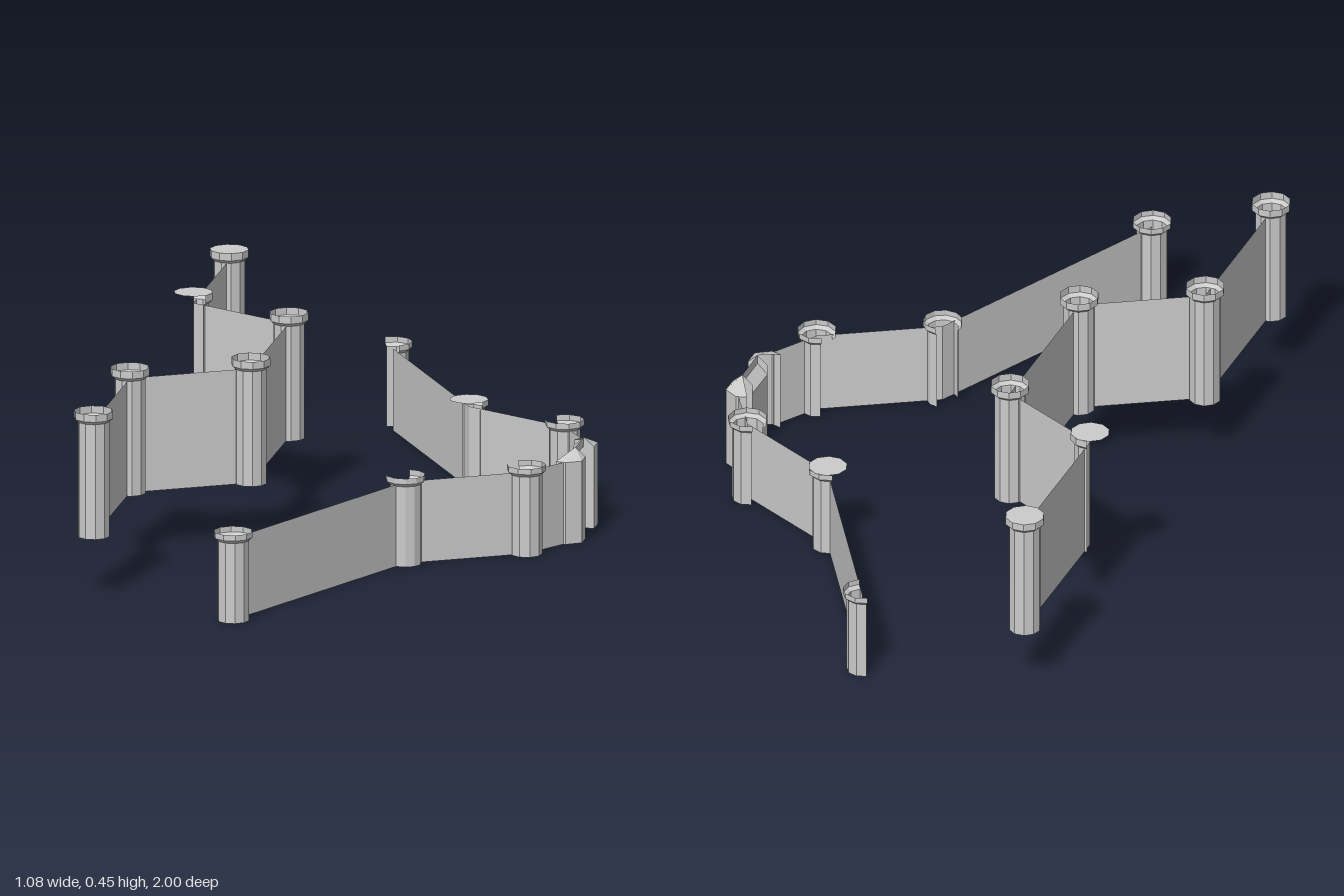
import * as THREE from 'three';

const material = new THREE.MeshStandardMaterial({ color: 0xcccccc, flatShading: true, side: THREE.DoubleSide });
const SIDES = 10;

// Surface from quads, each given as four corner points
function quads(name, list) {
  const pos = [];
  for (const [a, b, c, d] of list) pos.push(...a, ...b, ...c, ...a, ...c, ...d);
  const g = new THREE.BufferGeometry();
  g.setAttribute('position', new THREE.Float32BufferAttribute(pos, 3));
  g.computeVertexNormals();
  const m = new THREE.Mesh(g, material);
  m.name = name;
  return m;
}

// Thin curtain wall through a list of [x, z] points
function wall(name, points, y0, y1) {
  const list = [];
  for (let i = 0; i + 1 < points.length; i++) {
    const [ax, az] = points[i], [bx, bz] = points[i + 1];
    list.push([[ax, y0, az], [bx, y0, bz], [bx, y1, bz], [ax, y1, az]]);
  }
  return quads(name, list);
}

// Tower shell with flared rim; from/to are degrees measured from +x towards +z
function tower(name, { at: [x, z], from = 0, to = 360, lid = false }, y0, y1, rimH) {
  const group = new THREE.Group();
  group.name = name;
  const profile = [[0.038, y0], [0.038, y1 - rimH - 0.008], [0.047, y1 - rimH], [0.047, y1]]
    .map(([r, y]) => new THREE.Vector2(r, y));
  const rad = THREE.MathUtils.degToRad;
  const steps = Math.max(3, Math.round(SIDES * (to - from) / 360));
  const shell = new THREE.Mesh(new THREE.LatheGeometry(profile, steps, rad(90 - to), rad(to - from)), material);
  shell.name = name + 'Shell';
  group.add(shell);
  if (lid) {
    const top = new THREE.Mesh(new THREE.CircleGeometry(0.047, SIDES).rotateX(-Math.PI / 2), material);
    top.position.y = y1;
    top.name = name + 'Lid';
    group.add(top);
  }
  group.position.set(x, 0, z);
  return group;
}

// Gatehouse: two piers with pitched tops, recessed door, sloping soffit, lintel
function gatehouse() {
  const gate = new THREE.Group();
  gate.name = 'gatehouse';
  const zc = -0.05, half = 0.05;
  for (const s of [1, -1]) {
    const Z = (d) => zc + s * d;
    const foot = [[0.49, Z(half)], [0.54, Z(half)], [0.54, Z(0.095)], [0.505, Z(0.118)], [0.48, Z(0.11)]];
    const peak = [0.515, 0.222, Z(half)];
    const list = [];
    for (let i = 0; i < 4; i++) {
      const [a, b] = [foot[i], foot[i + 1]];
      list.push([[a[0], 0, a[1]], [b[0], 0, b[1]], [b[0], 0.2, b[1]], [a[0], 0.2, a[1]]]);
      const t = [a[0], 0.2, a[1]], u = [b[0], 0.2, b[1]];
      list.push([t, u, peak, peak]);
    }
    gate.add(quads(s > 0 ? 'frontPier' : 'backPier', list));
  }
  const span = (x0, y0, x1, y1) =>
    [[x0, y0, zc + half], [x0, y0, zc - half], [x1, y1, zc - half], [x1, y1, zc + half]];
  gate.add(quads('door', [span(0.49, 0, 0.49, 0.175)]));
  gate.add(quads('soffit', [span(0.49, 0.175, 0.515, 0.2)]));
  gate.add(quads('lintel', [span(0.515, 0.2, 0.515, 0.222)]));
  return gate;
}

export function createModel() {
  const model = new THREE.Group();
  model.name = 'fortressWalls';

  // Upper (inner) wall
  const upper = [
    { at: [-0.497, -0.86], lid: true },
    { at: [-0.497, -0.43], from: -100, to: 40, lid: true },
    { at: [-0.235, -0.28] },
    { at: [-0.235, 0.175] },
    { at: [-0.497, 0.325] },
    { at: [-0.497, 0.76] },
  ];
  model.add(wall('upperWall', upper.map((t) => t.at), 0.14, 0.42));
  upper.forEach((t, i) => model.add(tower('upperTower' + (i + 1), t, 0.14, 0.447, 0.018)));

  // Lower (outer) wall, split by the gate
  const back = [
    { at: [-0.12, -0.952], from: -125, to: 60 },
    { at: [0.17, -0.43], from: -125, to: 35, lid: true },
    { at: [0.432, -0.28], from: -125, to: 180 },
  ];
  const front = [
    { at: [0.432, 0.175], from: -125, to: 180 },
    { at: [0.17, 0.325], from: -90, to: 180 },
    { at: [-0.12, 0.952] },
  ];
  model.add(wall('lowerWallBack', [...back.map((t) => t.at), [0.5, -0.165]], 0, 0.2));
  model.add(wall('lowerWallFront', [[0.5, 0.065], ...front.map((t) => t.at)], 0, 0.2));
  [...back, ...front].forEach((t, i) => model.add(tower('lowerTower' + (i + 1), t, 0, 0.218, 0.014)));

  model.add(gatehouse());
  return model;
}
